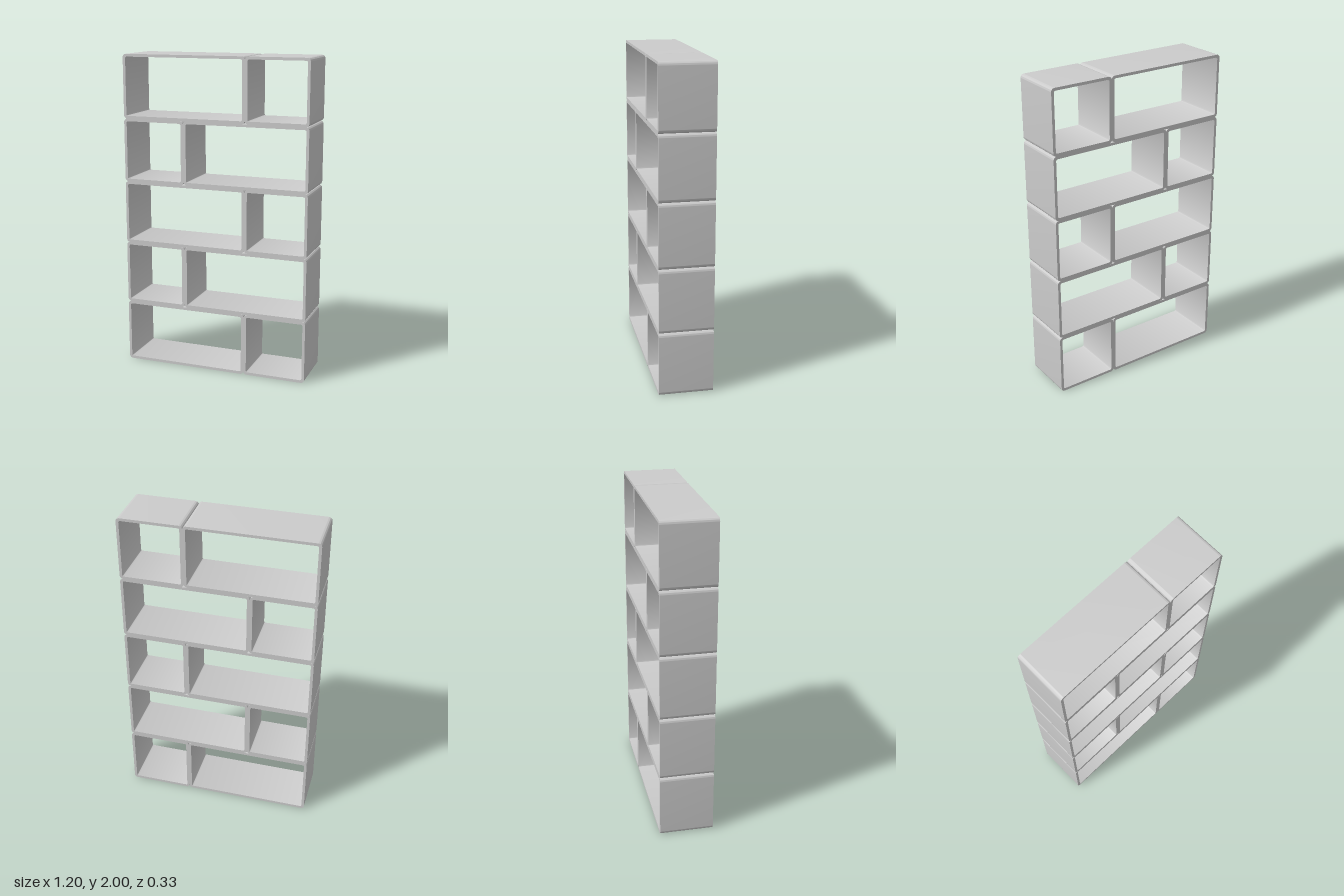
import * as THREE from 'three';
import { toCreasedNormals } from 'three/addons/utils/BufferGeometryUtils.js';

const DEPTH = 0.334, HEIGHT = 0.4, WALL = 0.017;
const NARROW = 0.4, WIDE = 0.8, ROWS = 5;

// Traces a rounded rectangle centred on the origin
function roundedRect(path, w, h, r) {
  const x = w / 2 - r, y = h / 2 - r;
  path.moveTo(-x, -h / 2);
  path.lineTo(x, -h / 2);
  path.absarc(x, -y, r, -Math.PI / 2, 0);
  path.lineTo(w / 2, y);
  path.absarc(x, y, r, 0, Math.PI / 2);
  path.lineTo(-x, h / 2);
  path.absarc(-x, y, r, Math.PI / 2, Math.PI);
  path.lineTo(-w / 2, -y);
  path.absarc(-x, -y, r, Math.PI, Math.PI * 1.5);
  return path;
}

// Open box: a rounded tube, see-through from front to back
function boxGeometry(width) {
  const shape = roundedRect(new THREE.Shape(), width, HEIGHT, 0.022);
  shape.holes.push(roundedRect(new THREE.Path(), width - 2 * WALL, HEIGHT - 2 * WALL, 0.01));
  const geometry = new THREE.ExtrudeGeometry(shape, { depth: DEPTH, bevelEnabled: false, curveSegments: 8 });
  geometry.translate(0, 0, -DEPTH / 2);
  return toCreasedNormals(geometry, 0.6);
}

export function createModel() {
  const group = new THREE.Group();
  group.name = 'shelf';
  const material = new THREE.MeshStandardMaterial({ color: 0xcccccc });
  const wide = boxGeometry(WIDE), narrow = boxGeometry(NARROW);

  // Stacked rows, the wide box alternating from side to side
  for (let row = 0; row < ROWS; row++) {
    const side = row % 2 === 0 ? -1 : 1;
    const y = (row + 0.5) * HEIGHT;

    const wideBox = new THREE.Mesh(wide, material);
    wideBox.name = `wideBox${row + 1}`;
    wideBox.position.set(side * NARROW / 2, y, 0);

    const narrowBox = new THREE.Mesh(narrow, material);
    narrowBox.name = `narrowBox${row + 1}`;
    narrowBox.position.set(-side * WIDE / 2, y, 0);

    group.add(wideBox, narrowBox);
  }
  return group;
}
